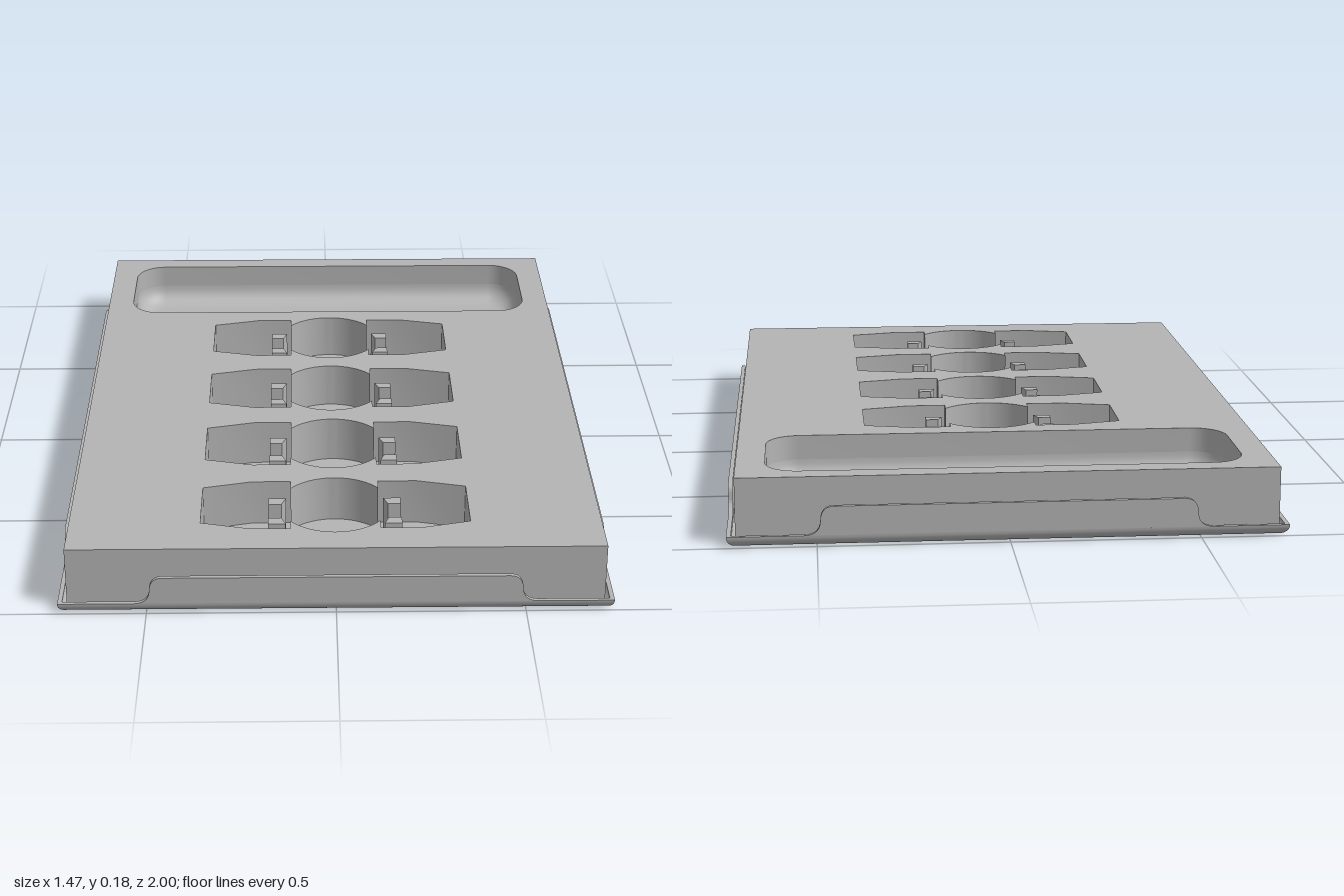
import * as THREE from 'three';
import { toCreasedNormals } from 'three/addons/utils/BufferGeometryUtils.js';

const HX = 0.733, HZ = 1;            // outer half sizes of the pan
const BX = 0.71, BZ = 0.975;         // half sizes of the insert block
const TOP = 0.18, FLOOR = 0.05, SHEET = 0.012, SKIN = 0.02;
const BEND = 0.03;                   // bend radius of the pan edge

// Rectangular ring with rounded corners (n = 0 gives four sharp corners)
function ring(hx, hz, r, n, y) {
  const pts = [];
  for (let q = 0; q < 4; q++) {
    const sx = q === 0 || q === 3 ? 1 : -1, sz = q < 2 ? 1 : -1;
    for (let k = 0; k <= n; k++) {
      const a = (q + (n ? k / n : 0.5)) * Math.PI / 2;
      pts.push([sx * (hx - r) + r * Math.cos(a), y, sz * (hz - r) + r * Math.sin(a)]);
    }
  }
  return pts;
}

// Skin a list of rings
function loft(rings) {
  const n = rings[0].length, index = [];
  for (let i = 0; i < rings.length - 1; i++) {
    for (let j = 0; j < n; j++) {
      const a = i * n + j, b = i * n + (j + 1) % n;
      index.push(a, a + n, b, b, a + n, b + n);
    }
  }
  const g = new THREE.BufferGeometry();
  g.setAttribute('position', new THREE.Float32BufferAttribute(rings.flat(2), 3));
  g.setIndex(index);
  return toCreasedNormals(g, 0.6);
}

function extrude(shape, depth) {
  return toCreasedNormals(new THREE.ExtrudeGeometry(shape, { depth, bevelEnabled: false, curveSegments: 16 }), 0.6);
}

function rectShape(x0, y0, x1, y1) {
  return new THREE.Shape([[x0, y0], [x1, y0], [x1, y1], [x0, y1]].map(p => new THREE.Vector2(...p)));
}

// Pocket outline: a circle with a tapered wing on each side
function pocketPath(cy) {
  const p = new THREE.Path(), a = Math.acos(0.8);
  const wing = [[0.12, 0.09], [0.12, 0.13], [0.227, 0.13], [0.36, 0.097],
    [0.36, -0.097], [0.227, -0.13], [0.12, -0.13], [0.12, -0.09]];
  wing.forEach(([x, y], i) => (i ? p.lineTo(x, cy + y) : p.moveTo(x, cy + y)));
  p.absarc(0, cy, 0.15, -a, a - Math.PI, true);
  wing.forEach(([x, y]) => p.lineTo(-x, cy - y));
  p.absarc(0, cy, 0.15, Math.PI - a, a, true);
  return p;
}

// Raised flap with soft shoulders that flares into the pan edge
function flapShape(h) {
  const s = new THREE.Shape(), top = 0.107;
  s.moveTo(-h - 0.075, BEND);
  s.lineTo(h + 0.075, BEND);
  s.quadraticCurveTo(h + 0.035, BEND, h + 0.032, 0.065);
  s.quadraticCurveTo(h + 0.032, top, h - 0.005, top);
  s.lineTo(-h + 0.005, top);
  s.quadraticCurveTo(-h - 0.032, top, -h - 0.032, 0.065);
  s.quadraticCurveTo(-h - 0.035, BEND, -h - 0.075, BEND);
  return s;
}

export function createModel() {
  const model = new THREE.Group();
  const grey = new THREE.MeshStandardMaterial({ color: 0xb4b4b4 });
  grey.name = 'plain grey';
  const add = (name, geometry, parent = model) => {
    const m = new THREE.Mesh(geometry, grey);
    m.name = name;
    parent.add(m);
    return m;
  };

  // Pan: flat base with a rounded bend along every edge
  const panRings = [ring(0, 0, 0, 0, 0)];
  const bend = (r, from, to) => {
    for (let k = 0; k <= 8; k++) {
      const a = (from + (to - from) * k / 8) * Math.PI / 2;
      const inset = BEND - r * Math.sin(a);
      panRings.push(ring(HX - inset, HZ - inset, 0, 0, BEND - r * Math.cos(a)));
    }
  };
  bend(BEND, 0, 1);
  bend(BEND - SHEET, 1, 0);
  panRings.push(ring(0, 0, 0, 0, SHEET));
  add('pan', loft(panRings));

  // Four edge flaps
  for (let k = 0; k < 4; k++) {
    const side = k % 2 === 1;
    const holder = new THREE.Group();
    holder.name = side ? 'longFlapHolder' : 'shortFlapHolder';
    holder.rotation.y = k * Math.PI / 2;
    model.add(holder);
    add('edgeFlap', extrude(flapShape(side ? 0.717 : 0.459), SHEET), holder)
      .position.z = (side ? HX : HZ) - SHEET;
  }

  // Insert block: solid slab below, cut-out body above
  const core = BX - SKIN;
  const slab = new THREE.BoxGeometry(core * 2, FLOOR - SHEET, BZ * 2);
  add('insertBase', slab).position.y = (FLOOR + SHEET) / 2;

  const pockets = [-0.34, 0.02, 0.38, 0.74];
  const trayZ = -0.727, trayX = 0.633, trayHalf = 0.188, corner = 0.09, fillet = 0.06;
  const body = rectShape(-core, -BZ, core, BZ);
  body.holes.push(new THREE.Path(ring(trayX, trayHalf, corner, 10, 0)
    .map(([x, , z]) => new THREE.Vector2(x, -z - trayZ))));
  pockets.forEach(z => body.holes.push(pocketPath(-z)));
  const insert = add('insertBody', extrude(body, TOP - FLOOR));
  insert.rotation.x = -Math.PI / 2;
  insert.position.y = FLOOR;

  // Rounded floor of the long tray
  const floorY = FLOOR + 0.002, trayRings = [];
  for (let k = 0; k <= 8; k++) {
    const a = k / 8 * Math.PI / 2, d = fillet * (1 - Math.cos(a));
    trayRings.push(ring(trayX - d, trayHalf - d, corner - d, 10, floorY + fillet * (1 - Math.sin(a))));
  }
  trayRings.push(ring(0, 0, 0, 10, floorY));
  add('trayFloor', loft(trayRings)).position.z = trayZ;

  // Four small posts in each pocket
  for (const z of pockets) {
    for (const sx of [-1, 1]) {
      for (const sz of [-1, 1]) {
        const pts = [[0.145, 0.037], [0.18, 0.037], [0.18, 0.07], [0.133, 0.07]]
          .map(([x, y]) => new THREE.Vector2(sx * x, sz * y));
        const post = add('pocketPost', extrude(new THREE.Shape(pts), 0.11));
        post.rotation.x = -Math.PI / 2;
        post.position.set(0, FLOOR, z);
      }
    }
  }

  // Side skins with three shallow round holes each
  for (const s of [-1, 1]) {
    const skin = rectShape(-BZ, SHEET, BZ, TOP);
    for (const z of [-0.7, 0, 0.7]) {
      skin.holes.push(new THREE.Path().absarc(z, 0.145, 0.017, 0, Math.PI * 2));
    }
    const plate = add('sideSkin', extrude(skin, SKIN));
    plate.rotation.y = Math.PI / 2;
    plate.position.x = s > 0 ? core : -BX;
  }
  return model;
}
